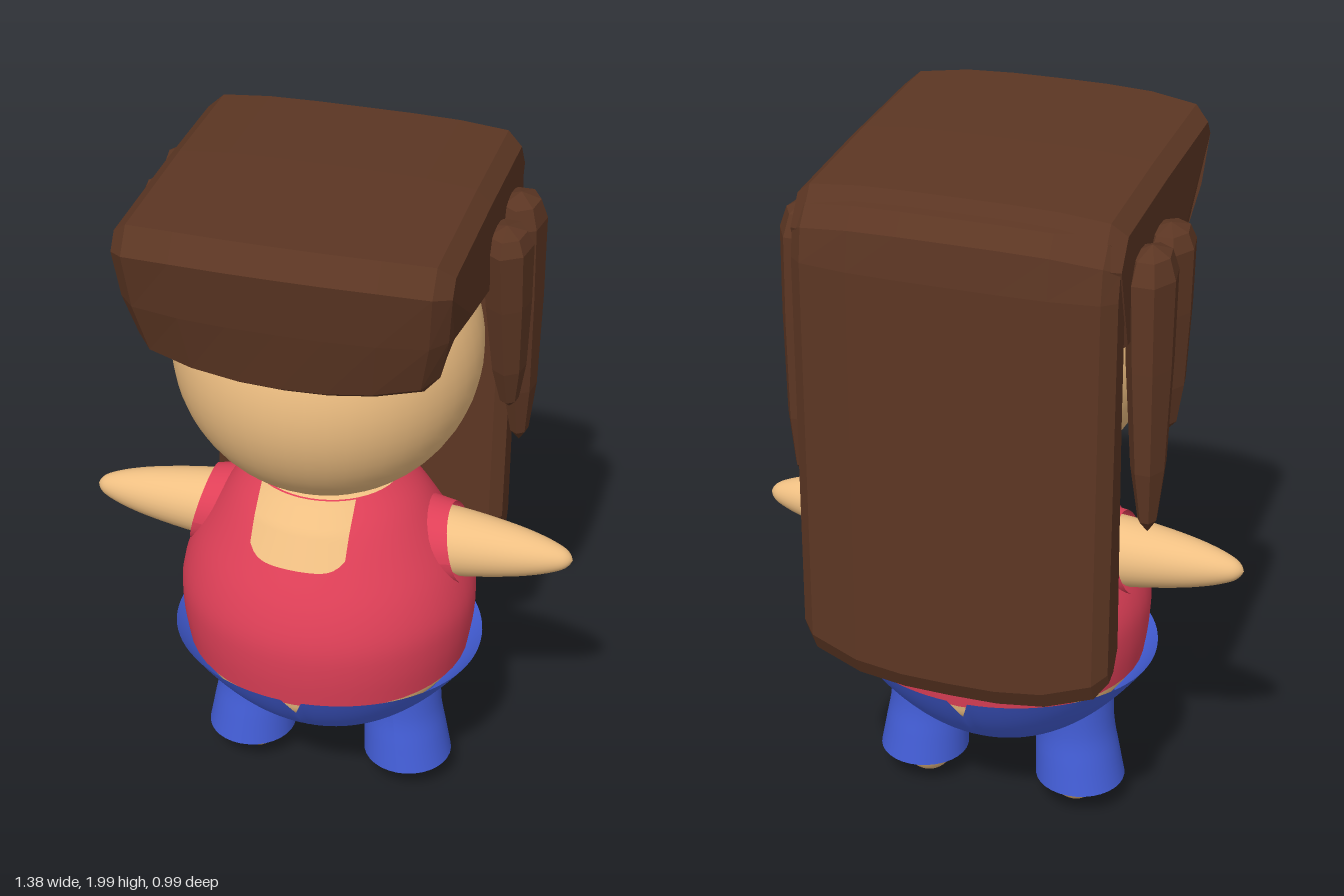
import * as THREE from 'three';

const paint = (color, flat = false) =>
  new THREE.MeshStandardMaterial({ color, flatShading: flat, side: THREE.DoubleSide });
const SKIN = paint(0xf0c083), SHIRT = paint(0xe04058), PANTS = paint(0x4560dc);
const HAIR = paint(0x5c3623, true);
const BODY_Z = -0.03;

function add(group, name, geometry, material, x = 0, y = 0, z = 0) {
  const mesh = new THREE.Mesh(geometry, material);
  mesh.name = name;
  mesh.position.set(x, y, z);
  group.add(mesh);
  return mesh;
}

// Smooth lathe through [radius, height] points
function turned(points, segments = 48, samples = 24) {
  const curve = new THREE.SplineCurve(points.map(p => new THREE.Vector2(...p)));
  const profile = curve.getPoints(samples).map(p => new THREE.Vector2(Math.max(p.x, 0), p.y));
  return new THREE.LatheGeometry(profile, segments);
}

function warp(geometry, rule) {
  const p = geometry.attributes.position, v = new THREE.Vector3();
  for (let i = 0; i < p.count; i++) {
    rule(v.fromBufferAttribute(p, i));
    p.setXYZ(i, v.x, v.y, v.z);
  }
  geometry.computeVertexNormals();
  return geometry;
}

// Side profile of [z, y] points swept across x with chamfered ends
function slab(profile, halfWidth, bevel, rule) {
  const shape = new THREE.Shape(profile.map(p => new THREE.Vector2(...p)));
  const depth = 2 * (halfWidth - bevel);
  const g = new THREE.ExtrudeGeometry(shape, {
    depth, steps: 6, bevelEnabled: true, bevelSegments: 1,
    bevelThickness: bevel, bevelSize: bevel * 0.7, bevelOffset: -bevel * 0.7,
  });
  g.translate(0, 0, -depth / 2).rotateY(-Math.PI / 2);
  return warp(g, rule);
}

// Shirt outline, top to bottom
const SHIRT_PROFILE = [[0.375, 0.5], [0.388, 0.6], [0.388, 0.7], [0.36, 0.8],
  [0.31, 0.9], [0.25, 1.0], [0.19, 1.07]];
const SHIRT_WIDE = 1.07;

function shirtRadius(y) {
  const i = Math.max(0, SHIRT_PROFILE.findIndex(p => p[1] >= y) - 1);
  const [r0, y0] = SHIRT_PROFILE[i], [r1, y1] = SHIRT_PROFILE[i + 1];
  return r0 + (r1 - r0) * (y - y0) / (y1 - y0);
}

function addBody(model) {
  add(model, 'head', new THREE.SphereGeometry(0.415, 48, 32), SKIN, 0, 1.465, -0.018);

  const torso = turned([[0, 0.38], [0.3, 0.42], ...SHIRT_PROFILE.map(([r, y]) => [r - 0.015, y]), [0, 1.072]], 48, 48);
  add(model, 'torso', torso.scale(SHIRT_WIDE, 1, 1), SKIN, 0, 0, BODY_Z);
  add(model, 'shirt', turned(SHIRT_PROFILE).scale(SHIRT_WIDE, 1, 1), SHIRT, 0, 0, BODY_Z);

  // Bare patch under the chin, laid just over the shirt front
  const patch = new THREE.PlaneGeometry(0.27, 0.16, 20, 16).translate(-0.015, 0.99, 0);
  warp(patch, v => {
    const side = Math.min(1, Math.abs(v.x + 0.015) / 0.135);
    const lift = 0.03 * Math.pow(side, 6) * (1.07 - v.y) / 0.16;
    v.y += lift;
    const r = shirtRadius(Math.min(v.y, 1.069)) + 0.006, x = v.x / SHIRT_WIDE;
    v.z = Math.sqrt(Math.max(r * r - x * x, 0));
  });
  add(model, 'neckline', patch, SKIN, 0, 0, BODY_Z);

  // Trousers bowl with a small notch at front and back of the waist
  const rim = Array.from({ length: 25 }, (_, i) => new THREE.Vector2(1, i / 24));
  const bowl = warp(new THREE.LatheGeometry(rim, 96), v => {
    const angle = Math.atan2(v.x, v.z);
    const notch = Math.abs(Math.sin(angle)) < 0.03 ? 0.08 : 0;
    const top = 0.522 - notch - 0.008 * Math.pow(Math.sin(angle), 8);
    const t = v.y * v.y;
    const r = 0.39 * Math.pow(t * (top - 0.22) / 0.3, 0.45);
    v.set(1.14 * r * Math.sin(angle), 0.22 + t * (top - 0.22), r * Math.cos(angle));
  });
  add(model, 'trousers', bowl, PANTS, 0, 0, BODY_Z);
}

function addLimbs(model) {
  for (const s of [1, -1]) {
    const side = s > 0 ? 'left' : 'right';

    const arm = turned([[0.1, 0.15], [0.1, 0.3], [0.092, 0.4], [0.073, 0.52],
      [0.054, 0.6], [0.034, 0.655], [0.018, 0.678], [0, 0.688]], 32, 32);
    add(model, side + 'Arm', arm.rotateZ(-s * Math.PI / 2), SKIN, 0, 0.855, -0.045);

    // Sleeve with a slanted cuff
    const sleeve = turned([[0.15, 0.16], [0.13, 0.26], [0.112, 0.37]], 32, 10);
    sleeve.rotateZ(-s * Math.PI / 2);
    warp(sleeve, v => { v.x -= s * v.y * 0.25 * (Math.abs(v.x) - 0.16) / 0.21; });
    add(model, side + 'Sleeve', sleeve, SHIRT, 0, 0.855, -0.045);

    const leg = turned([[0.128, 0.09], [0.12, 0.18], [0.113, 0.28], [0.125, 0.42]], 32, 12);
    warp(leg, v => { v.x += s * (0.238 - 0.1 * (v.y - 0.09)); });
    add(model, side + 'TrouserLeg', leg, PANTS, 0, 0, -0.04);

    const foot = new THREE.SphereGeometry(1, 32, 20).scale(0.088, 0.125, 0.088);
    add(model, side + 'Foot', foot, SKIN, s * 0.226, 0.127, -0.04);
  }
}

function addHair(model) {
  // Cap and overhanging fringe
  const cap = slab([[0.45, 1.995], [0.495, 1.93], [0.465, 1.76], [0.425, 1.58], [0.39, 1.555],
    [0.355, 1.62], [0.3, 1.675], [0.19, 1.7], [0, 1.66], [-0.12, 1.6], [-0.36, 1.6],
    [-0.44, 1.88], [-0.37, 1.975], [0, 1.99]], 0.43, 0.04, v => {
    const a = Math.abs(v.x) / 0.43;
    if (v.y > 1.85) v.y -= 0.022 * a ** 4;
    if (v.z > 0.3) v.z -= 0.045 * a ** 3;
    if (v.z > 0.3 && v.y < 1.67) v.y += 0.045 * a * a;
    if (v.z > 0.2) v.x *= 1 - 0.1 * THREE.MathUtils.clamp((1.82 - v.y) / 0.2, 0, 1);
  });
  add(model, 'hairCap', cap, HAIR);

  // Long flat fall of hair down the back
  const back = slab([[-0.36, 1.95], [-0.42, 1.94], [-0.46, 1.89], [-0.475, 1.78], [-0.492, 0.63],
    [-0.465, 0.575], [-0.37, 0.59], [-0.325, 0.66], [-0.34, 1.4], [-0.34, 1.85]], 0.427, 0.035, v => {
    const a = Math.abs(v.x) / 0.43;
    if (v.y < 0.8) v.y += 0.08 * a ** 3;
    if (v.y > 1.85) v.y -= 0.03 * a ** 4;
    if (v.z < -0.4) v.z += 0.03 * a ** 4;
  });
  add(model, 'backHair', back, HAIR);

  // Tapered side locks: [z, top, tip, half depth]
  const locks = [[-0.075, 1.85, 1.285, 0.09], [-0.245, 1.86, 1.07, 0.095]];
  for (const s of [1, -1]) {
    locks.forEach(([z, top, tip, d], i) => {
      const h = top - tip;
      const profile = [[0, 0], [0.38, 0.05], [0.68, 0.24], [0.9, 0.6], [1, 0.9], [0.75, 0.97], [0, 1]]
        .map(([r, t]) => new THREE.Vector2(r, t * h));
      const lock = new THREE.LatheGeometry(profile, 7).scale(0.068, 1, d);
      warp(lock, v => {
        v.z += 0.04 * (v.y / h) - 0.03;
        v.x += 0.02 * (1 - v.y / h);
        v.x *= s;
      });
      if (s < 0) lock.setIndex(Array.from(lock.index.array).reverse());
      add(model, (s > 0 ? 'left' : 'right') + 'Lock' + (i + 1), lock, HAIR, s * 0.458, tip, z);
    });
  }
}

export function createModel() {
  const model = new THREE.Group();
  model.name = 'figure';
  addBody(model);
  addLimbs(model);
  addHair(model);
  return model;
}
